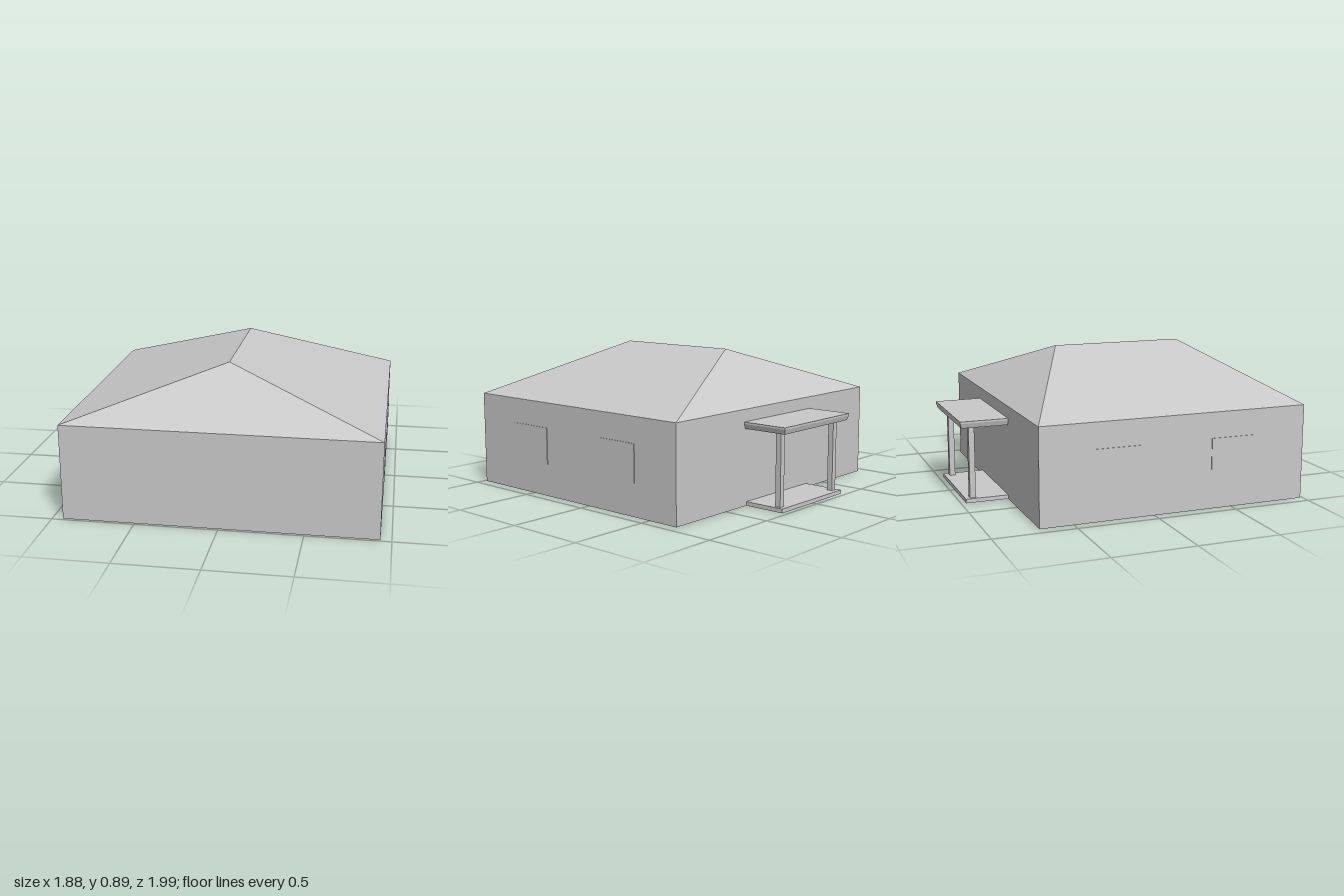
import * as THREE from 'three';

// Box given by its limits on each axis
function boxBetween(name, material, [x0, x1], [y0, y1], [z0, z1]) {
  const mesh = new THREE.Mesh(new THREE.BoxGeometry(x1 - x0, y1 - y0, z1 - z0), material);
  mesh.position.set((x0 + x1) / 2, (y0 + y1) / 2, (z0 + z1) / 2);
  mesh.name = name;
  return mesh;
}

// Stacks rectangles [y, halfWidth, zBack, zFront] into a flat-shaded solid
function stackRects(name, material, levels) {
  const rings = levels.map(([y, w, zb, zf]) => [[-w, y, zf], [w, y, zf], [w, y, zb], [-w, y, zb]]);
  const pos = [];
  const quad = (a, b, c, d) => pos.push(...a, ...b, ...c, ...a, ...c, ...d);
  for (let i = 0; i < rings.length - 1; i++) {
    for (let k = 0; k < 4; k++) {
      const n = (k + 1) % 4;
      quad(rings[i][k], rings[i][n], rings[i + 1][n], rings[i + 1][k]);
    }
  }
  quad(...[...rings[0]].reverse());
  quad(...rings[rings.length - 1]);
  const geometry = new THREE.BufferGeometry();
  geometry.setAttribute('position', new THREE.Float32BufferAttribute(pos, 3));
  geometry.computeVertexNormals();
  const mesh = new THREE.Mesh(geometry, material);
  mesh.name = name;
  return mesh;
}

// Hipped roof: four eaves corners rising to a ridge along z
function hipRoof(material, halfWidth, eavesY, ridgeY, zBack, zFront, ridgeBack, ridgeFront) {
  const fl = [-halfWidth, eavesY, zFront], fr = [halfWidth, eavesY, zFront];
  const bl = [-halfWidth, eavesY, zBack], br = [halfWidth, eavesY, zBack];
  const rf = [0, ridgeY, ridgeFront], rb = [0, ridgeY, ridgeBack];
  const triangles = [
    fl, fr, rf, // front hip
    br, bl, rb, // back hip
    fr, br, rb, fr, rb, rf, // +x slope
    bl, fl, rf, bl, rf, rb, // -x slope
  ];
  const geometry = new THREE.BufferGeometry();
  geometry.setAttribute('position', new THREE.Float32BufferAttribute(triangles.flat(), 3));
  geometry.computeVertexNormals();
  const mesh = new THREE.Mesh(geometry, material);
  mesh.name = 'roof';
  return mesh;
}

export function createModel() {
  const grey = new THREE.MeshStandardMaterial({ color: 0xc8c8c8 });
  grey.name = 'plain grey';
  const house = new THREE.Group();
  house.name = 'house';

  const W = 0.935, EAVES = 0.587, BACK = -0.705, FRONT = 0.985;

  // Main body and roof
  house.add(boxBetween('walls', grey, [-W, W], [0, EAVES], [BACK, FRONT]));
  house.add(hipRoof(grey, W, EAVES, 0.89, BACK, FRONT, -0.285, 0.565));

  // Two thin window panels on each side wall
  for (const side of [-1, 1]) {
    for (const z of [0.51, -0.24]) {
      const pane = new THREE.Mesh(new THREE.BoxGeometry(0.004, 0.23, 0.29), grey);
      pane.position.set(side * (W + 0.002), 0.315, z);
      pane.name = 'window';
      house.add(pane);
    }
  }

  // Back porch: step, two posts and a canopy with a bevelled edge
  const porch = new THREE.Group();
  porch.name = 'porch';
  porch.add(boxBetween('step', grey, [-0.31, 0.31], [0, 0.025], [-0.97, BACK]));
  for (const x of [-0.272, 0.272]) {
    porch.add(boxBetween('post', grey, [x - 0.018, x + 0.018], [0.025, 0.47], [-0.94, -0.904]));
  }
  porch.add(stackRects('canopy', grey, [
    [0.47, 0.326, -0.991, BACK],
    [0.5, 0.336, -1, BACK],
    [0.512, 0.336, -1, BACK],
  ]));
  house.add(porch);

  return house;
}
